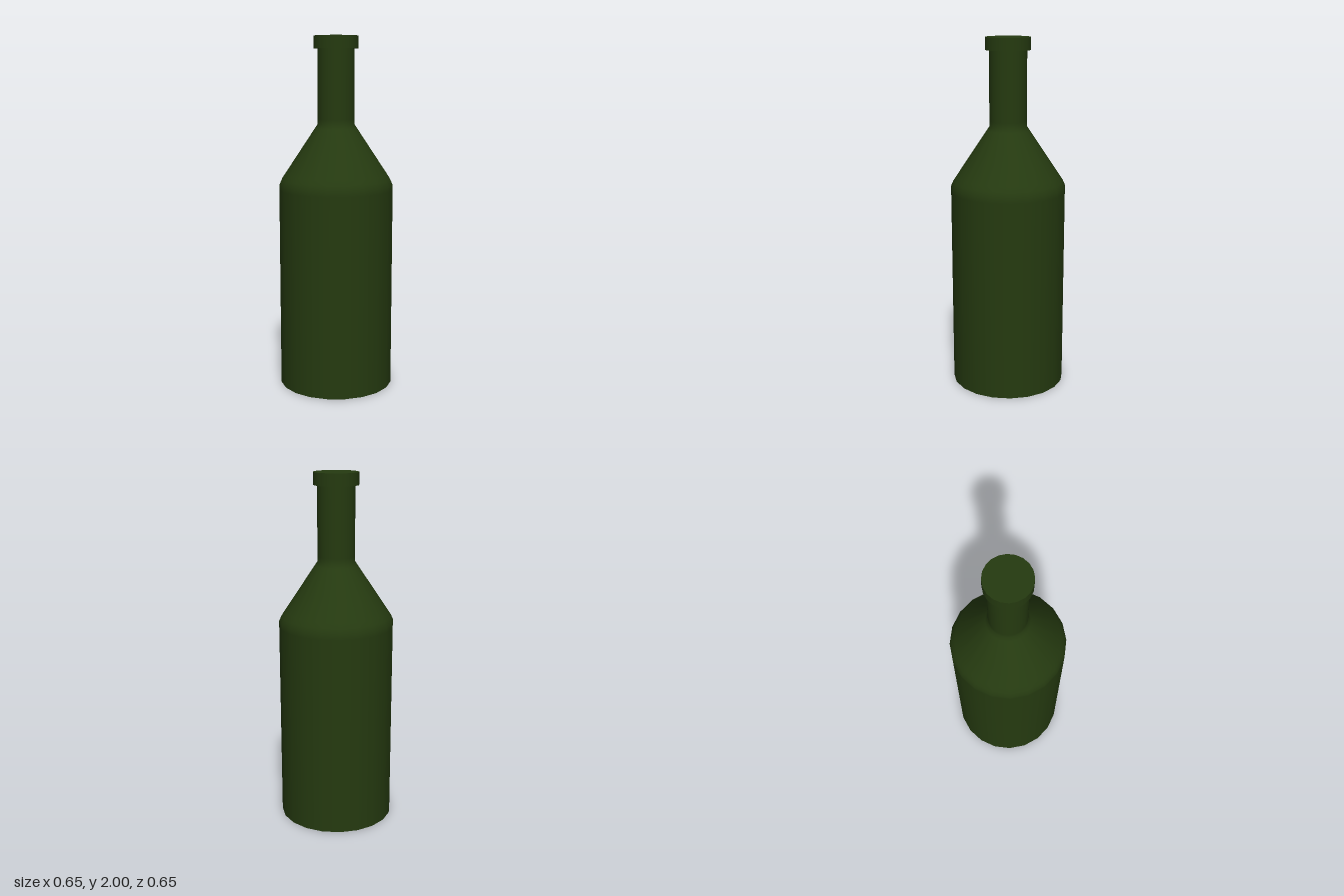
import * as THREE from 'three';

const SIDES = 20;

export function createModel() {
  const bottle = new THREE.Group();
  bottle.name = 'bottle';
  const glass = new THREE.MeshStandardMaterial({ color: 0x253a10 });
  glass.name = 'dark green glass';

  const add = (name, geometry, y = 0) => {
    const mesh = new THREE.Mesh(geometry, glass);
    mesh.name = name;
    mesh.position.y = y;
    bottle.add(mesh);
    return mesh;
  };

  // Body, shoulder and neck; close rings keep the bends softly rounded
  const profile = [
    [0.325, 0], [0.325, 1.14], [0.325, 1.17], [0.312, 1.2], [0.294, 1.227],
    [0.12, 1.488], [0.105, 1.51], [0.105, 1.54], [0.105, 1.94],
  ].map(([r, y]) => new THREE.Vector2(r, y));
  add('body', new THREE.LatheGeometry(profile, SIDES));

  // Flat underside
  add('base', new THREE.CircleGeometry(0.325, SIDES).rotateX(Math.PI / 2));

  // Closed rim around the mouth
  add('lip', new THREE.CylinderGeometry(0.126, 0.126, 0.07, SIDES), 1.965);

  return bottle;
}
